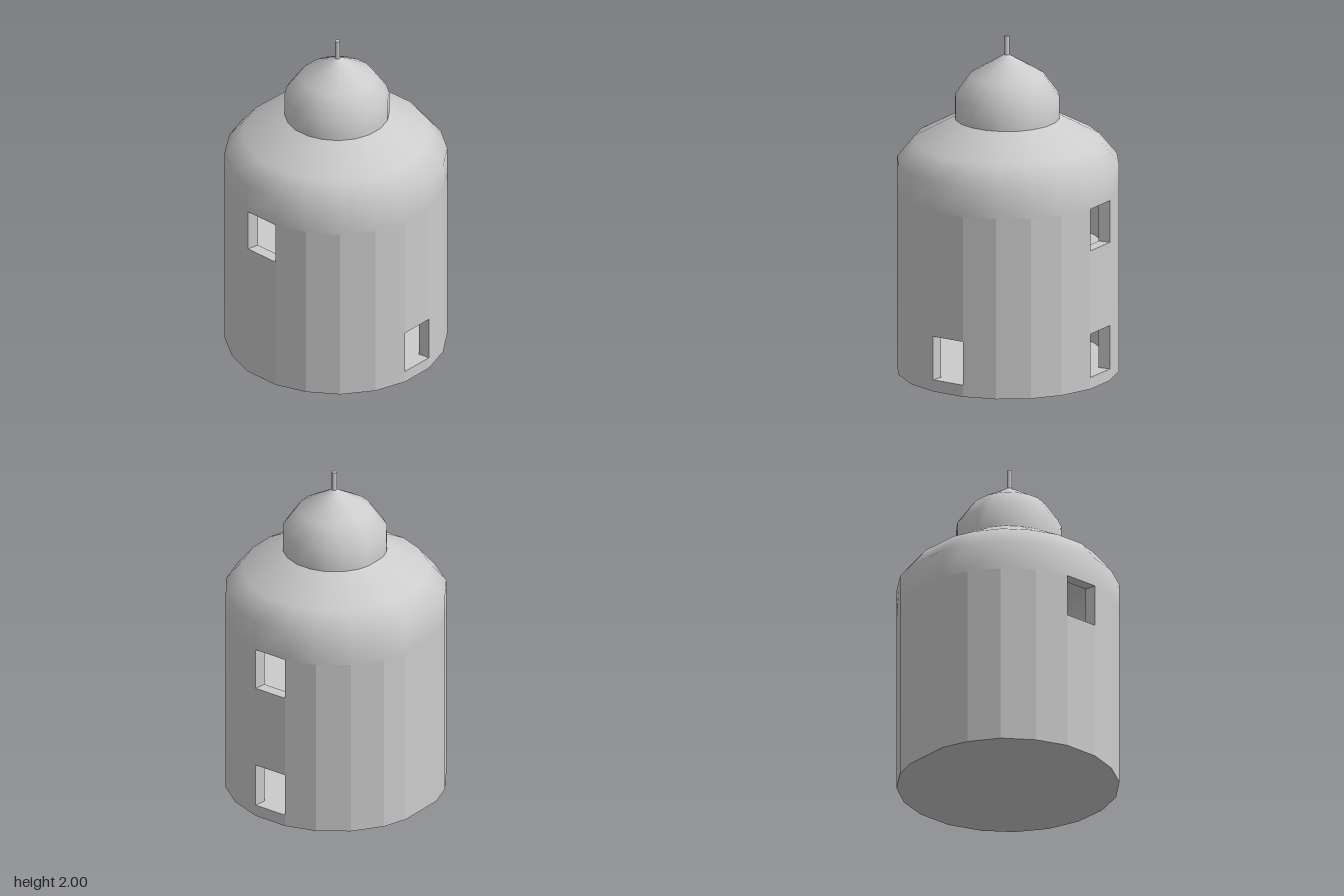
import * as THREE from 'three';

// Slightly irregular 20-sided plan [x, z], running from the front towards +x
const PLAN = [
  [-0.09, 0.625], [0.115, 0.62], [0.3, 0.555], [0.46, 0.435], [0.57, 0.28],
  [0.635, 0.08], [0.63, -0.13], [0.57, -0.31], [0.45, -0.47], [0.285, -0.585],
  [0.14, -0.63], [-0.15, -0.63], [-0.3, -0.575], [-0.46, -0.46], [-0.575, -0.29],
  [-0.635, -0.105], [-0.63, 0.11], [-0.565, 0.29], [-0.45, 0.45], [-0.28, 0.57],
];
const N = PLAN.length;
const INNER = 0.89;                          // inner wall face, as a scale of the plan
const LEVELS = [0.07, 0.33, 0.83, 1.08];     // heights where wall bands meet
// Openings as 'side:band'; each fills one whole side of the plan
const OPENINGS = new Set(['0:0', '5:0', '5:2', '15:2']);

const point = (i, scale, y) => [PLAN[i % N][0] * scale, y, PLAN[i % N][1] * scale];

// Smooth skin through scaled copies of the plan; rings are [scale, y]
function loft(rings) {
  const positions = [], index = [];
  for (const [s, y] of rings) for (let i = 0; i < N; i++) positions.push(...point(i, s, y));
  for (let r = 0; r < rings.length - 1; r++) {
    for (let i = 0; i < N; i++) {
      const a = r * N + i, b = r * N + (i + 1) % N;
      index.push(a, b, b + N, a, b + N, a + N);
    }
  }
  const geometry = new THREE.BufferGeometry();
  geometry.setAttribute('position', new THREE.Float32BufferAttribute(positions, 3));
  geometry.setIndex(index);
  geometry.computeVertexNormals();
  return geometry;
}

// Flat-faced hollow wall with openings and their reveals
function wallGeometry() {
  const positions = [];
  const quad = (a, b, c, d) => positions.push(...a, ...b, ...c, ...a, ...c, ...d);
  for (let band = 0; band < LEVELS.length - 1; band++) {
    const y0 = LEVELS[band], y1 = LEVELS[band + 1];
    for (let i = 0; i < N; i++) {
      const corners = (s) => [point(i, s, y0), point(i + 1, s, y0), point(i + 1, s, y1), point(i, s, y1)];
      const out = corners(1), inn = corners(INNER);
      if (OPENINGS.has(`${i}:${band}`)) {
        // Sill, two jambs and lintel
        for (let k = 0; k < 4; k++) {
          const n = (k + 1) % 4;
          quad(out[k], out[n], inn[n], inn[k]);
        }
      } else {
        quad(...out);
        quad(inn[1], inn[0], inn[3], inn[2]);
      }
    }
  }
  const geometry = new THREE.BufferGeometry();
  geometry.setAttribute('position', new THREE.Float32BufferAttribute(positions, 3));
  geometry.computeVertexNormals();
  return geometry;
}

// Solid floor plate in the shape of the plan
function slab(scale, y, height) {
  const shape = new THREE.Shape(PLAN.map(([x, z]) => new THREE.Vector2(x * scale, -z * scale)));
  const geometry = new THREE.ExtrudeGeometry(shape, { depth: height, bevelEnabled: false });
  return geometry.rotateX(-Math.PI / 2).translate(0, y, 0);
}

export function createModel() {
  const group = new THREE.Group();
  const solid = new THREE.MeshStandardMaterial({ color: 0xcccccc });
  const thin = new THREE.MeshStandardMaterial({ color: 0xcccccc, side: THREE.DoubleSide });
  const add = (name, geometry, material = solid) => {
    const mesh = new THREE.Mesh(geometry, material);
    mesh.name = name;
    group.add(mesh);
    return mesh;
  };

  // Tower body
  add('base', slab(1, 0, LEVELS[0]));
  add('wall', wallGeometry(), thin);
  add('upperFloor', slab(0.9, 0.69, 0.03));

  // Rounded shoulder and lantern dome
  add('roof', loft([[1, 1.08], [1, 1.255], [0.842, 1.38], [0.472, 1.51]]), thin);
  add('dome', loft([[0.472, 1.51], [0.472, 1.64], [0.336, 1.765], [0, 1.895]]), thin);

  // Finial on top
  add('spire', new THREE.CylinderGeometry(0.015, 0.015, 0.12, 12)).position.y = 1.94;

  return group;
}
